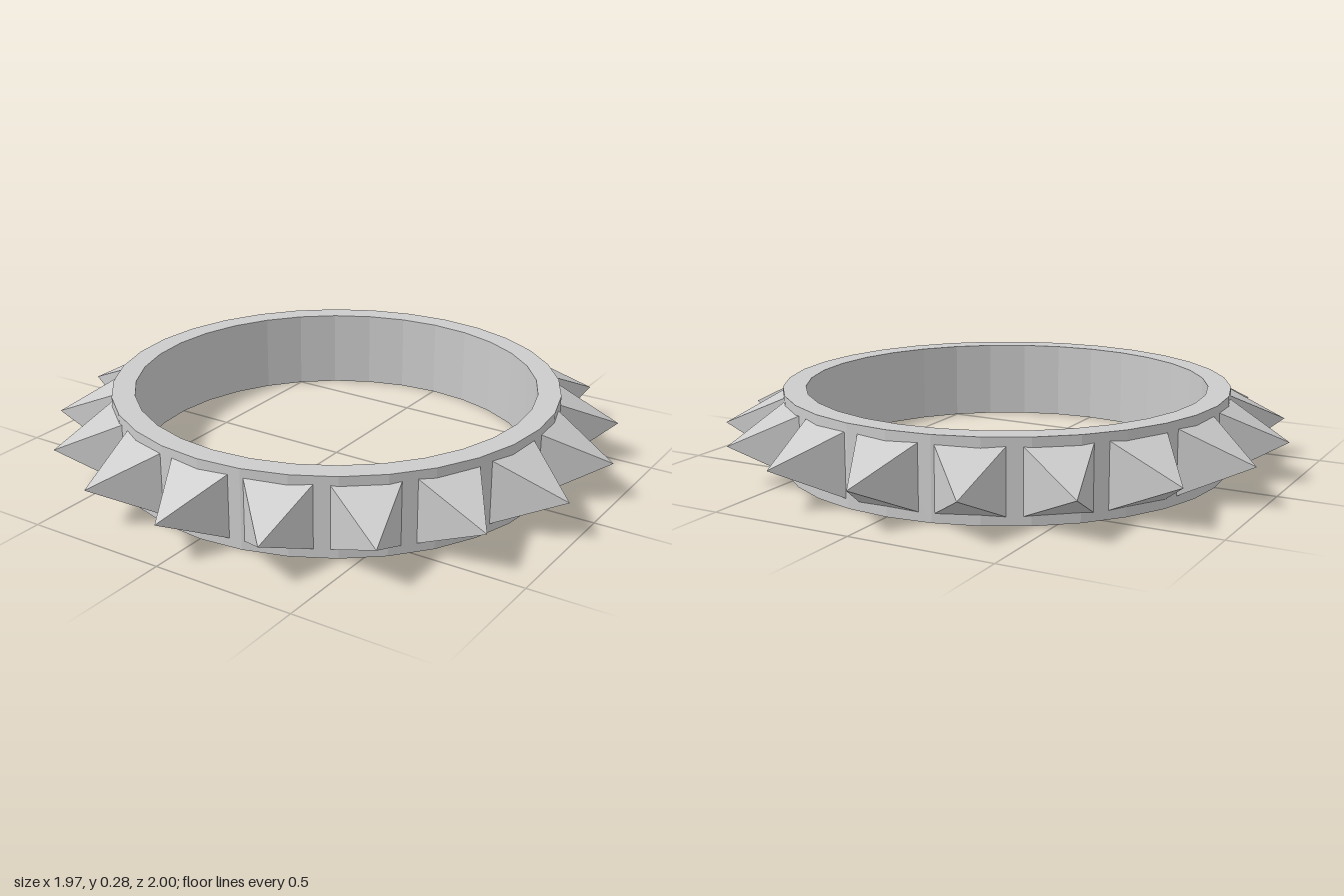
import * as THREE from 'three';

const OUTER = 0.787, INNER = 0.707, HEIGHT = 0.28;
const SPIKES = 18, TIP = 0.998, SEAT = 0.74, HALF_WIDTH = 0.128;

export function createModel() {
  const model = new THREE.Group();
  model.name = 'spikedBand';
  const material = new THREE.MeshStandardMaterial({ color: 0xcccccc, flatShading: true });

  // Faceted band with a rectangular section
  const section = [[OUTER, 0], [OUTER, HEIGHT], [INNER, HEIGHT], [INNER, 0], [OUTER, 0]]
    .map(([r, y]) => new THREE.Vector2(r, y));
  const band = new THREE.Mesh(new THREE.LatheGeometry(section, 32), material);
  band.name = 'band';
  model.add(band);

  // Square pyramid pointing along +z, its base sunk into the band
  const length = TIP - SEAT;
  const spikeGeometry = new THREE.ConeGeometry(HALF_WIDTH * Math.SQRT2, length, 4)
    .rotateY(Math.PI / 4)
    .rotateX(Math.PI / 2)
    .translate(0, HEIGHT / 2, SEAT + length / 2);

  // Ring of evenly spaced spikes
  const spikes = new THREE.Group();
  spikes.name = 'spikes';
  for (let i = 0; i < SPIKES; i++) {
    const spike = new THREE.Mesh(spikeGeometry, material);
    spike.name = `spike${i + 1}`;
    spike.rotation.y = (i / SPIKES) * Math.PI * 2;
    spikes.add(spike);
  }
  model.add(spikes);
  return model;
}
